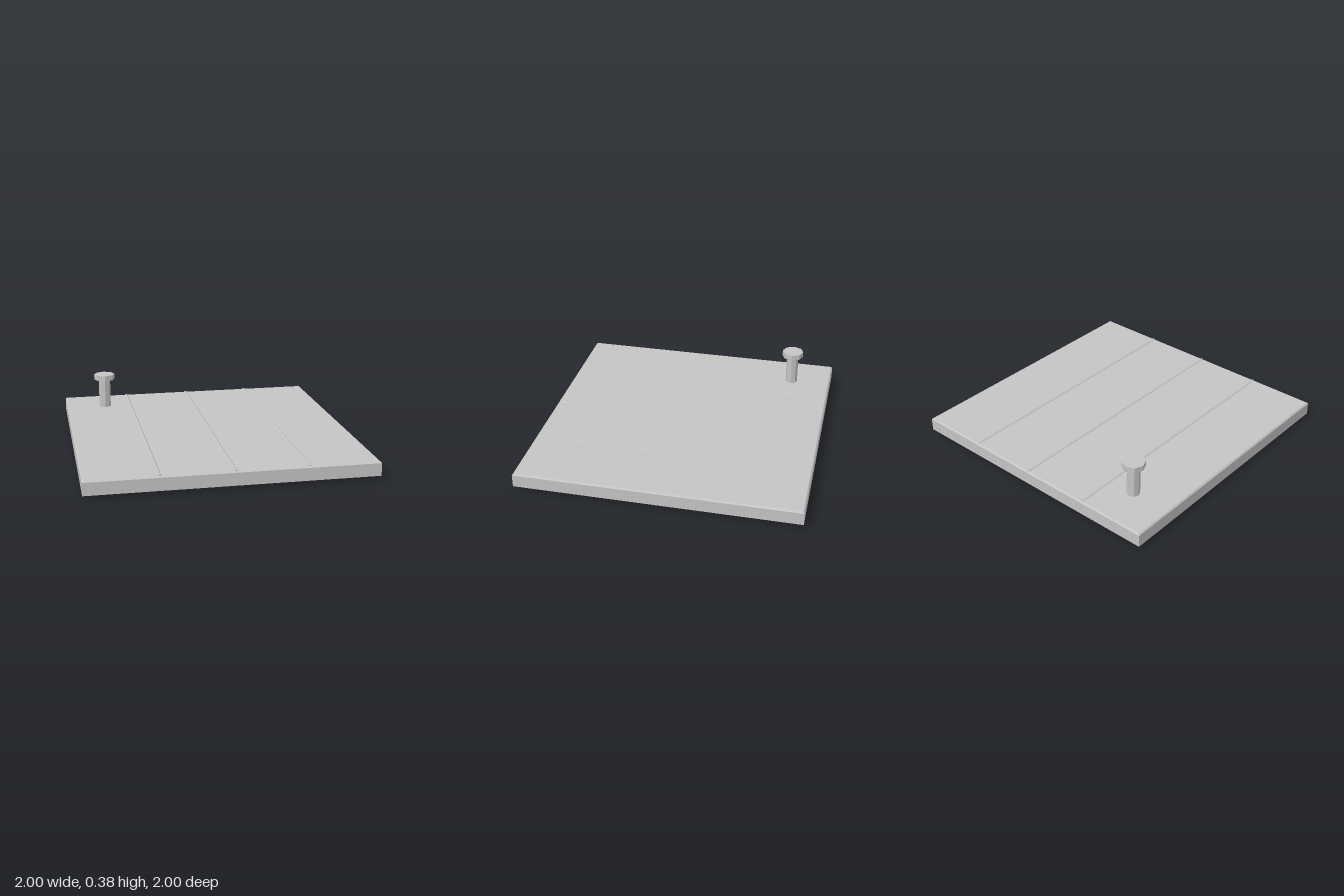
import * as THREE from 'three';

export function createModel() {
  const model = new THREE.Group();
  const grey = new THREE.MeshStandardMaterial({ color: 0xc4c4c4 });
  grey.name = 'plain grey';

  function add(name, geometry, x, y, z) {
    const mesh = new THREE.Mesh(geometry, grey);
    mesh.name = name;
    mesh.position.set(x, y, z);
    model.add(mesh);
    return mesh;
  }

  // Flat-faced prism standing on the y axis
  const prism = (radius, height, sides = 8) => {
    const g = new THREE.CylinderGeometry(radius, radius, height, sides).toNonIndexed();
    g.computeVertexNormals();
    return g;
  };

  // Slab: straight sides, with a narrow bevel around the top
  const bevel = 0.01;
  add('slab', new THREE.BoxGeometry(2, 0.09, 2), 0, 0.07, 0);
  const rim = new THREE.BoxGeometry(2, bevel, 2).toNonIndexed();
  const p = rim.attributes.position;
  for (let i = 0; i < p.count; i++) {
    if (p.getY(i) > 0) p.setXYZ(i, p.getX(i) * (1 - bevel), p.getY(i), p.getZ(i) * (1 - bevel));
  }
  rim.computeVertexNormals();
  add('slabBevel', rim, 0, 0.12, 0);

  // Low rounded ribs running front to back
  for (const x of [-0.5, 0, 0.5]) {
    const rib = add('rib', new THREE.CylinderGeometry(0.0125, 0.0125, 1.98, 12), x, 0.12, 0);
    rib.rotation.x = Math.PI / 2;
  }

  // Eight-sided post with a wider cap
  add('post', prism(0.045, 0.23), -0.7, 0.235, -0.7);
  add('postCap', prism(0.08, 0.04), -0.7, 0.365, -0.7);

  // Vent on the underside: plate with three slats
  add('ventPlate', new THREE.BoxGeometry(0.245, 0.018, 0.245), 0.6, 0.017, 0.6);
  for (const dz of [-0.064, 0, 0.064]) {
    add('ventSlat', new THREE.BoxGeometry(0.2, 0.01, 0.018), 0.6, 0.005, 0.6 + dz);
  }

  return model;
}
